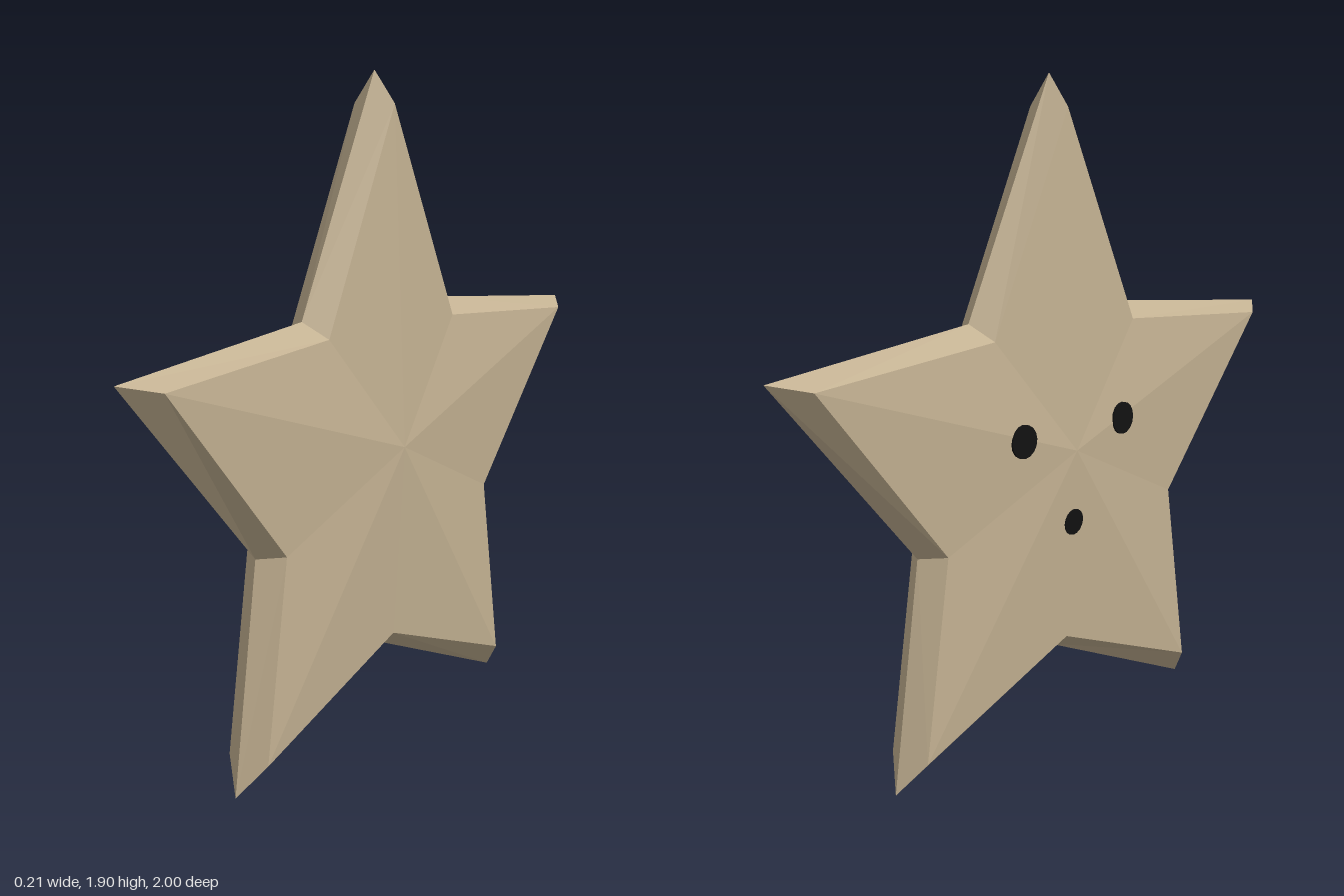
import * as THREE from 'three';

const sand = new THREE.MeshStandardMaterial({ color: 0xc2b091 });
sand.name = 'sand';
sand.flatShading = true;
const black = new THREE.MeshStandardMaterial({ color: 0x111111 });
black.name = 'black';

const CENTRE_Y = 0.86;
const CENTRE_X = 0.107;
const BEVEL_X = 0.069;

// Half outlines as [z, y], from the top tip down to the bottom notch
const outerHalf = [[0, 1.9], [0.32, 1.245], [1, 1.177], [0.52, 0.64], [0.615, 0], [0, 0.26]];
const innerHalf = [[0, 1.81], [0.29, 1.2], [0.905, 1.153], [0.473, 0.647], [0.56, 0.09], [0, 0.3]];

// Mirror a half outline across z = 0 into a closed ring
function ring(half) {
  const other = half.slice(1, -1).reverse().map(([z, y]) => [-z, y]);
  return [...half, ...other];
}

// One half of the star: a low pyramid face with a sloping rim down to the middle plane
function starHalf(side) {
  const outer = ring(outerHalf).map(([z, y]) => [0, y, z]);
  const inner = ring(innerHalf).map(([z, y]) => [side * BEVEL_X, y, z]);
  const centre = [side * CENTRE_X, CENTRE_Y, 0];
  const positions = [];
  const tri = (a, b, c) => positions.push(...a, ...(side > 0 ? b : c), ...(side > 0 ? c : b));
  for (let i = 0; i < inner.length; i++) {
    const j = (i + 1) % inner.length;
    tri(centre, inner[i], inner[j]);
    tri(inner[i], outer[i], outer[j]);
    tri(inner[i], outer[j], inner[j]);
  }
  const geometry = new THREE.BufferGeometry();
  geometry.setAttribute('position', new THREE.Float32BufferAttribute(positions, 3));
  geometry.computeVertexNormals();
  return new THREE.Mesh(geometry, sand);
}

// Thin round spot lying on the -x face, tilted with its slope
function spot(name, z, y, radius, slope) {
  const dy = y - CENTRE_Y;
  const r = Math.hypot(z, dy);
  const mesh = new THREE.Mesh(new THREE.CylinderGeometry(radius, radius, 0.008, 16), black);
  const normal = new THREE.Vector3(-1, slope * dy / r, slope * z / r).normalize();
  mesh.quaternion.setFromUnitVectors(new THREE.Vector3(0, 1, 0), normal);
  mesh.position.set(-(CENTRE_X - slope * r), y, z);
  mesh.name = name;
  return mesh;
}

export function createModel() {
  const model = new THREE.Group();
  model.name = 'star';

  const leftHalf = starHalf(1);
  leftHalf.name = 'plainHalf';
  const rightHalf = starHalf(-1);
  rightHalf.name = 'faceHalf';
  model.add(leftHalf, rightHalf);

  // Eyes and mouth
  for (const s of [-1, 1]) {
    model.add(spot(s < 0 ? 'backEye' : 'frontEye', s * 0.21, 0.92, 0.047, 0.04));
  }
  model.add(spot('mouth', 0, 0.65, 0.038, 0.066));
  return model;
}
